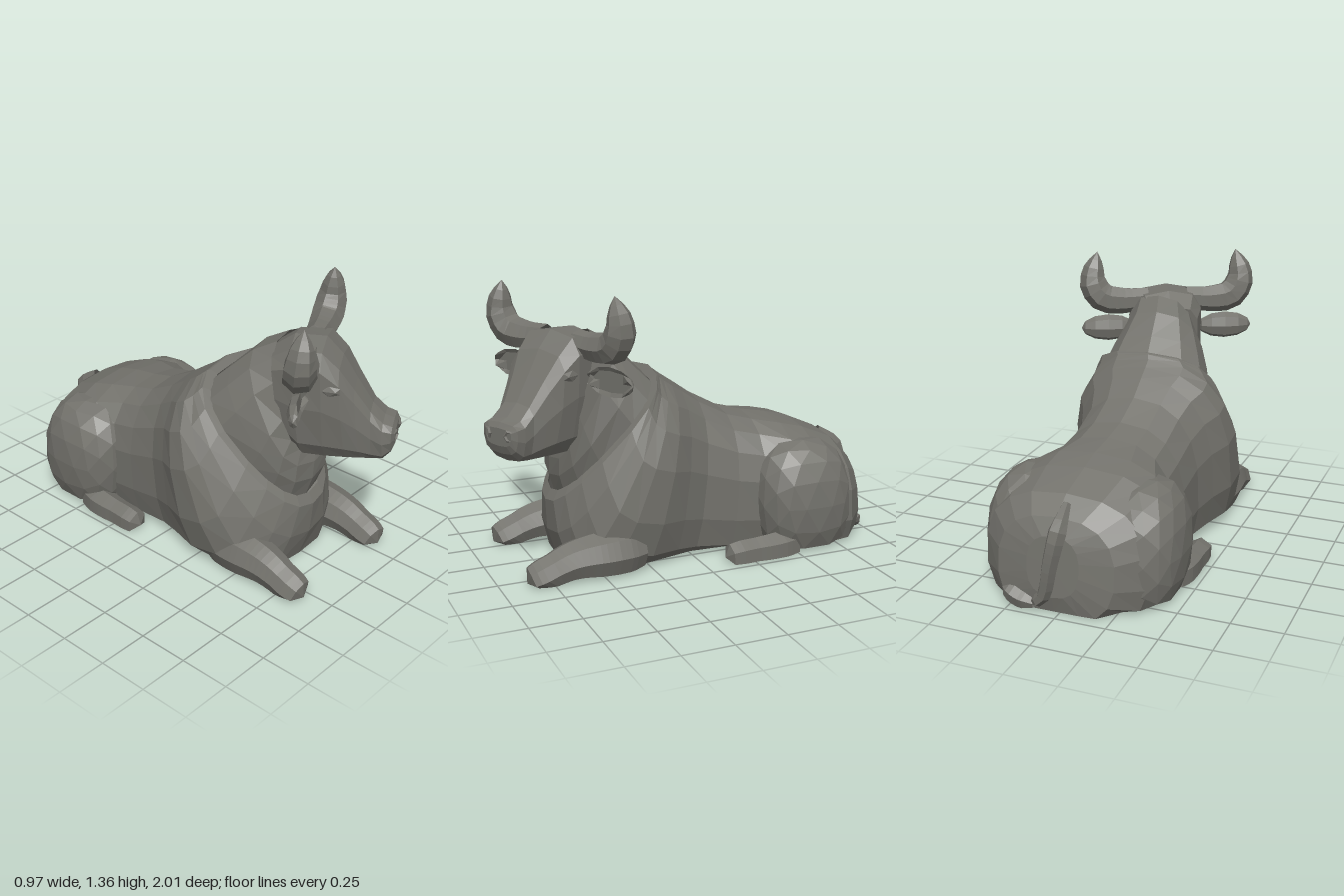
import * as THREE from 'three';

const material = new THREE.MeshStandardMaterial({ color: 0x73726c, flatShading: true, side: THREE.DoubleSide });

function part(name, geometry, parent) {
  const mesh = new THREE.Mesh(geometry, material);
  mesh.name = name;
  parent.add(mesh);
  return mesh;
}

// cuts a shape off at the ground, leaving it open below; faces lying wholly
// within innerX of the middle plane are buried and left out
function openShell(geometry, innerX = 0) {
  const g = geometry.index ? geometry.toNonIndexed() : geometry;
  const p = g.attributes.position, kept = [];
  for (let i = 0; i < p.count; i += 3) {
    const corners = [i, i + 1, i + 2];
    if (corners.every(k => p.getY(k) <= 0.001) || corners.every(k => Math.abs(p.getX(k)) < innerX)) continue;
    corners.forEach(k => kept.push(p.getX(k), Math.max(0, p.getY(k)), p.getZ(k)));
  }
  const out = new THREE.BufferGeometry();
  out.setAttribute('position', new THREE.Float32BufferAttribute(kept, 3));
  out.computeVertexNormals();
  return out;
}

const power = (v, e) => Math.sign(v) * Math.abs(v) ** e;

// skin over tilted rings: [zBottom, yBottom, zTop, yTop, halfWidth, centreX, taper]
function loft(rings, sides, roundness, cappedRings) {
  const pos = [], idx = [];
  for (const [zb, yb, zt, yt, w, cx, taper = 0] of rings) {
    for (let j = 0; j < sides; j++) {
      const a = (j / sides) * Math.PI * 2;
      const up = -power(Math.cos(a), roundness);
      const k = (up + 1) / 2;
      pos.push(cx + w * (1 + taper * up) * power(Math.sin(a), roundness), yb + (yt - yb) * k, zb + (zt - zb) * k);
    }
  }
  for (let i = 0; i < rings.length - 1; i++) {
    for (let j = 0; j < sides; j++) {
      const n = (j + 1) % sides, a = i * sides, b = a + sides;
      idx.push(a + j, a + n, b + n, a + j, b + n, b + j);
    }
  }
  for (const i of cappedRings) {
    const [zb, yb, zt, yt, , cx] = rings[i];
    const c = pos.length / 3;
    pos.push(cx, (yb + yt) / 2, (zb + zt) / 2);
    for (let j = 0; j < sides; j++) {
      const a = i * sides + j, b = i * sides + (j + 1) % sides;
      idx.push(c, i ? a : b, i ? b : a);
    }
  }
  const g = new THREE.BufferGeometry();
  g.setAttribute('position', new THREE.Float32BufferAttribute(pos, 3));
  g.setIndex(idx);
  return openShell(g);
}

// tube along points whose radius follows the given list, closed at its far end
function sweep(points, radii, segments, sides) {
  const curve = new THREE.CatmullRomCurve3(points.map(p => new THREE.Vector3(...p)));
  const g = new THREE.TubeGeometry(curve, segments, 1, sides);
  const p = g.attributes.position, v = new THREE.Vector3();
  for (let i = 0; i < p.count; i++) {
    const u = Math.floor(i / (sides + 1)) / segments;
    const t = u * (radii.length - 1), k = Math.min(Math.floor(t), radii.length - 2);
    const r = u === 1 ? 0 : THREE.MathUtils.lerp(radii[k], radii[k + 1], t - k);
    const c = curve.getPointAt(u);
    v.fromBufferAttribute(p, i).sub(c).multiplyScalar(r).add(c);
    p.setXYZ(i, v.x, v.y, v.z);
  }
  return openShell(g);
}

export function createModel() {
  const bull = new THREE.Group();
  bull.name = 'lyingBull';

  // rump, barrel, chest and the pointed fold around the neck
  part('torso', loft([
    [-0.96, 0.08, -0.93, 0.37, 0.13, 0.03],
    [-0.94, -0.05, -0.89, 0.45, 0.29, 0.03],
    [-0.83, -0.12, -0.8, 0.53, 0.41, 0.02],
    [-0.64, -0.15, -0.64, 0.6, 0.455, 0],
    [-0.5, -0.15, -0.52, 0.63, 0.43, 0],
    [-0.36, -0.15, -0.38, 0.655, 0.34, -0.01],
    [-0.2, -0.15, -0.25, 0.69, 0.33, -0.02],
    [0, -0.15, -0.1, 0.77, 0.33, -0.03],
    [0.12, -0.15, 0, 0.84, 0.37, -0.03],
    [0.3, -0.15, 0.06, 0.88, 0.425, -0.03],
    [0.5, -0.12, 0.1, 0.91, 0.43, -0.03],
    [0.62, -0.04, 0.12, 0.93, 0.4, -0.02],
    [0.67, 0.15, 0.13, 0.935, 0.35, -0.01, 0.12],
    [0.68, 0.31, 0.14, 0.935, 0.3, 0, 0.3],
    [0.65, 0.36, 0.17, 0.91, 0.265, 0, 0.3],
  ], 18, 0.8, [0]), bull);

  part('neck', loft([
    [0.63, 0.34, 0.16, 0.9, 0.265, 0, 0.3],
    [0.66, 0.44, 0.25, 0.99, 0.25, 0.01, 0.15],
    [0.66, 0.53, 0.35, 1.09, 0.22, 0.02],
    [0.64, 0.6, 0.46, 1.15, 0.19, 0.05],
  ], 14, 0.75, []), bull);

  for (const s of [1, -1]) {
    const side = s > 0 ? 'left' : 'right';

    // folded thigh, its knee leaning forward
    const thigh = new THREE.IcosahedronGeometry(1, 2);
    const p = thigh.attributes.position;
    for (let i = 0; i < p.count; i++) {
      const x = power(p.getX(i), 0.9), y = power(p.getY(i), 0.85), z = power(p.getZ(i), 0.8);
      p.setXYZ(i, s * 0.285 + x * 0.205, 0.24 + y * 0.32, -0.59 + z * 0.265 + y * 0.02);
    }
    part(side + 'Thigh', openShell(thigh, 0.25), bull);

    part(side + 'HindFoot', sweep(
      [[s * 0.38, 0.04, -0.5], [s * 0.4, 0.035, -0.38], [s * 0.405, 0.035, -0.25], [s * 0.405, 0.025, -0.11]],
      [0.07, 0.08, 0.075, 0.068, 0.07, 0.06], 14, 6), bull);

    part(side + 'Foreleg', sweep(
      [[s * 0.28, 0.1, 0.3], [s * 0.3, 0.1, 0.47], [s * 0.305, 0.09, 0.65], [s * 0.305, 0.04, 0.79], [s * 0.3, 0.01, 0.87]],
      [0.1, 0.12, 0.12, 0.115, 0.105, 0.095, 0.085, 0.085, 0.065], 20, 8), bull);
  }

  // tail widening as it hangs down the rump, its tuft lying to the left
  part('tail', sweep(
    [[0.0, 0.5, -0.84], [0.0, 0.41, -0.94], [0.03, 0.26, -0.965], [0.08, 0.07, -0.955], [0.15, 0.03, -0.95]],
    [0.02, 0.045, 0.04, 0.035, 0.03], 12, 6), bull);
  part('tailTuft', sweep(
    [[0.12, 0.03, -0.955], [0.2, 0.04, -0.94], [0.29, 0.08, -0.94]],
    [0.02, 0.045, 0.045, 0.02], 7, 5), bull);

  // head, turned towards its left
  const head = new THREE.Group();
  head.name = 'head';
  head.position.set(0.06, 0, 0.61);
  head.rotation.y = 0.47;
  bull.add(head);

  part('skull', loft([
    [-0.13, 0.68, -0.19, 1.1, 0.15, 0, 0.05],
    [-0.03, 0.575, -0.1, 1.165, 0.18, 0, 0.08],
    [0.08, 0.575, 0.05, 1.17, 0.19, 0, 0.14],
    [0.18, 0.58, 0.13, 1.09, 0.175, 0, 0.15],
    [0.25, 0.585, 0.2, 0.98, 0.145, 0, 0.1],
    [0.3, 0.59, 0.28, 0.86, 0.12, 0, 0.05],
    [0.35, 0.6, 0.34, 0.805, 0.122, 0, 0.06],
    [0.385, 0.64, 0.385, 0.79, 0.115, 0, 0.1],
    [0.4, 0.68, 0.4, 0.765, 0.085, 0, 0.1],
  ], 12, 0.6, [0, 8]), head);

  for (const s of [1, -1]) {
    const side = s > 0 ? 'left' : 'right';

    part(side + 'Horn', sweep(
      [[s * 0.1, 1.11, -0.02], [s * 0.24, 1.1, -0.015], [s * 0.345, 1.12, -0.01], [s * 0.395, 1.2, 0], [s * 0.37, 1.36, 0.01]],
      [0.06, 0.066, 0.075, 0.08, 0.075, 0.055, 0.012], 12, 7), head);

    // pointed leaf shaped ear, hollow towards the front
    const ear = new THREE.SphereGeometry(1, 8, 6);
    ear.rotateZ(Math.PI / 2);
    const p = ear.attributes.position;
    for (let i = 0; i < p.count; i++) {
      const x = p.getX(i), y = p.getY(i), z = p.getZ(i);
      p.setXYZ(i, x * 0.145, y * 0.072, (z > 0.4 ? -0.2 : z) * 0.05);
    }
    const earMesh = part(side + 'Ear', ear, head);
    earMesh.position.set(s * 0.315, 0.95, -0.01);

    // low brow ridge and nostril
    const brow = part(side + 'Brow', new THREE.IcosahedronGeometry(1, 0), head);
    brow.scale.set(0.02, 0.03, 0.055);
    brow.position.set(s * 0.175, 0.98, 0.1);
    const nostril = part(side + 'Nostril', new THREE.TorusGeometry(0.024, 0.008, 4, 6), head);
    nostril.position.set(s * 0.07, 0.735, 0.396);
    nostril.rotation.y = s * 0.4;
  }

  return bull;
}
